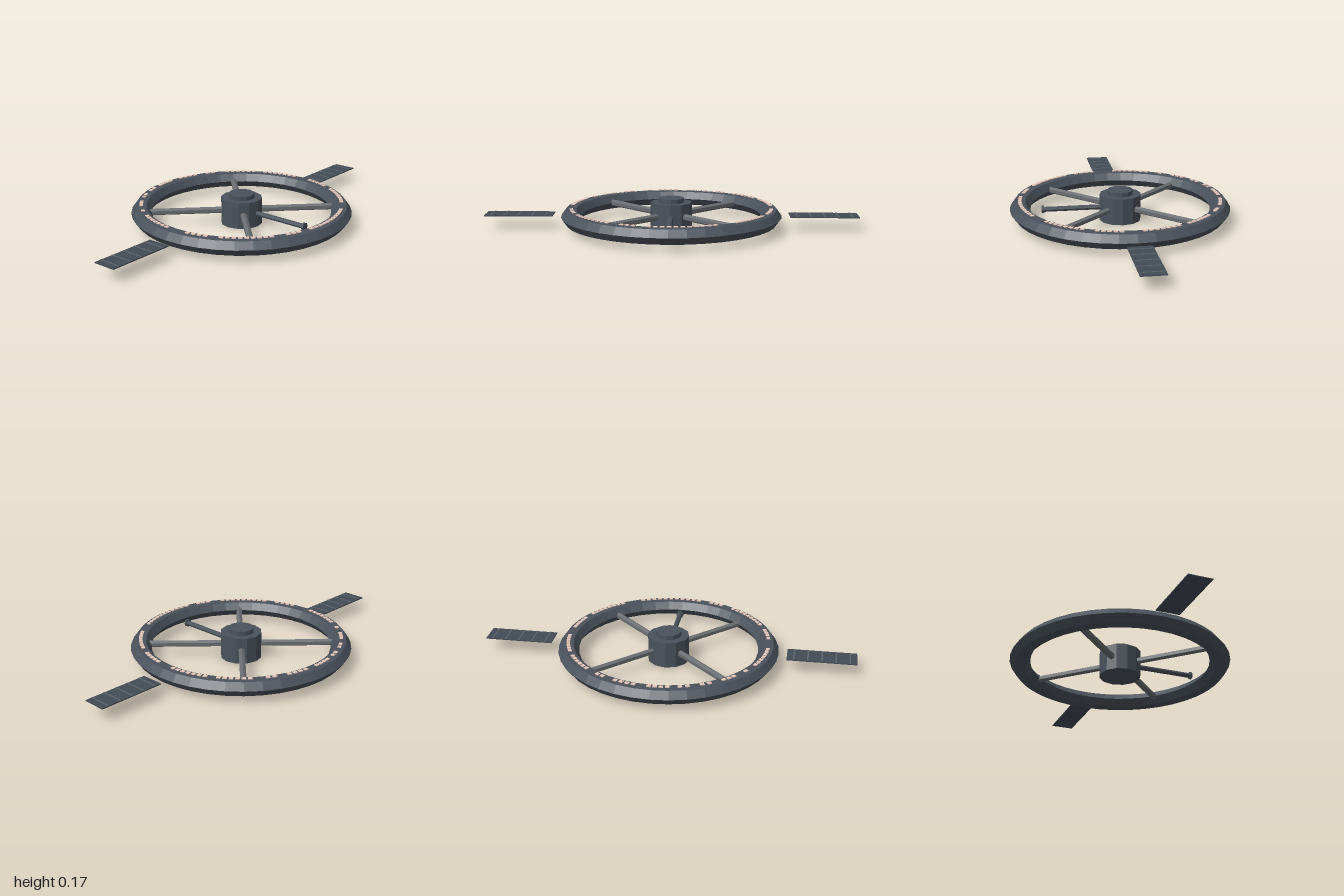
import * as THREE from 'three';

const mat = (name, color) => {
  const m = new THREE.MeshStandardMaterial({ color, flatShading: true });
  m.name = name;
  return m;
};

export function createModel() {
  const hull = mat('hullGrey', 0x4a525c);
  const strut = mat('strutGrey', 0x6a6e72);
  const panel = mat('panelSlate', 0x434b56);
  const rib = mat('panelRib', 0x5c646c);
  const glow = mat('windowGlow', 0xe6c8ba);

  const root = new THREE.Group();
  root.name = 'wheelStation';
  const MID = 0.073;

  const add = (name, geo, material, x = 0, y = 0, z = 0, parent = root) => {
    const m = new THREE.Mesh(geo, material);
    m.name = name;
    m.position.set(x, y, z);
    parent.add(m);
    return m;
  };

  // Habitat ring: six-sided section, slightly flattened
  const ring = new THREE.TorusGeometry(0.535, 0.055, 6, 40);
  ring.rotateX(Math.PI / 2);
  ring.scale(1, 0.79, 1);
  add('habitatRing', ring, hull, 0, MID, 0);

  // Central hub and cap
  add('hub', new THREE.CylinderGeometry(0.111, 0.111, 0.142, 12), hull, 0, 0.071, 0);
  add('hubCap', new THREE.CylinderGeometry(0.069, 0.069, 0.024, 12), hull, 0, 0.153, 0);

  // Four diagonal spokes
  const spoke = new THREE.CylinderGeometry(0.018, 0.018, 0.4, 6);
  spoke.rotateX(Math.PI / 2);
  spoke.translate(0, 0, 0.3);
  for (let i = 0; i < 4; i++) {
    add('spoke', spoke, strut, 0, MID, 0).rotation.y = Math.PI / 4 + i * Math.PI / 2;
  }

  // Docking arm with end flange, pointing forward
  const arm = new THREE.CylinderGeometry(0.014, 0.014, 0.33, 8);
  arm.rotateX(Math.PI / 2);
  add('dockingArm', arm, hull, 0, MID, 0.25);
  const flange = new THREE.CylinderGeometry(0.021, 0.021, 0.012, 8);
  flange.rotateX(Math.PI / 2);
  add('dockingFlange', flange, hull, 0, MID, 0.415);

  // Solar wings with raised ribs
  for (const side of [-1, 1]) {
    const wing = new THREE.Group();
    wing.name = side > 0 ? 'leftSolarWing' : 'rightSolarWing';
    root.add(wing);
    add('solarPanel', new THREE.BoxGeometry(0.366, 0.005, 0.126), panel, side * 0.817, MID, 0, wing);
    for (let i = 0; i < 5; i++) {
      add('panelRib', new THREE.BoxGeometry(0.008, 0.002, 0.126), rib,
        side * (0.671 + i * 0.073), MID + 0.0033, 0, wing);
    }
  }

  // Lit windows in arcs along the ring top: start and end in degrees from +x toward +z
  const arcs = [
    [6, 22], [27, 53], [63, 102], [107, 117], [123, 153], [158, 172], [183, 207], [213, 216],
    [222, 232], [237, 245], [249, 257], [260, 273], [278, 292], [297, 304], [310, 330], [334, 357],
  ];
  const pane = new THREE.BoxGeometry(0.019, 0.004, 0.022);
  for (const [from, to] of arcs) {
    const count = Math.max(1, Math.round((to - from) / 3.4));
    for (let i = 0; i < count; i++) {
      const a = THREE.MathUtils.degToRad(from + (i + 0.5) * (to - from) / count);
      add('window', pane, glow, Math.cos(a) * 0.535, 0.118, Math.sin(a) * 0.535).rotation.y = -a;
    }
  }

  return root;
}
